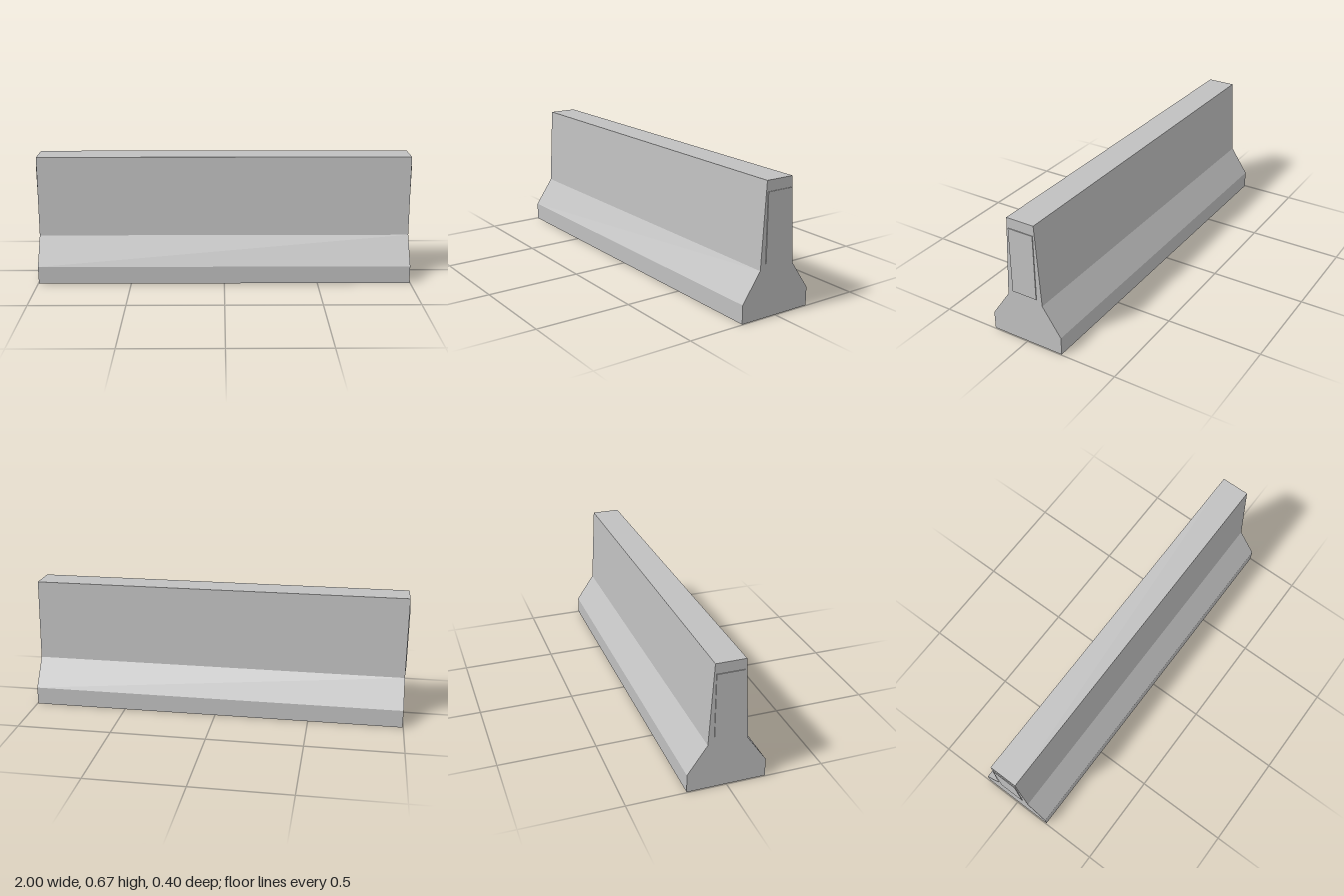
import * as THREE from 'three';

export function createModel() {
  const group = new THREE.Group();
  const concrete = new THREE.MeshStandardMaterial({ color: 0xc0c0c0 });
  concrete.name = 'concrete grey';

  const plateDepth = 0.004;
  const bodyLength = 2 - 2 * plateDepth;

  // Barrier body: half profile as (z, y), mirrored and extruded along x
  const half = [[0.2, 0], [0.2, 0.095], [0.1, 0.24], [0.076, 0.667]];
  const mirrored = half.map(([z, y]) => [-z, y]).reverse();
  const profile = new THREE.Shape([...half, ...mirrored].map(([z, y]) => new THREE.Vector2(z, y)));
  const bodyGeometry = new THREE.ExtrudeGeometry(profile, { depth: bodyLength, bevelEnabled: false });
  bodyGeometry.translate(0, 0, -bodyLength / 2);
  bodyGeometry.rotateY(Math.PI / 2);
  const body = new THREE.Mesh(bodyGeometry, concrete);
  body.name = 'barrierBody';
  group.add(body);

  // Thin raised panel on each end
  for (const side of [-1, 1]) {
    const panel = new THREE.Mesh(new THREE.BoxGeometry(plateDepth, 0.345, 0.138), concrete);
    panel.position.set(side * (1 - plateDepth / 2), 0.4405, 0);
    panel.name = side > 0 ? 'leftEndPanel' : 'rightEndPanel';
    group.add(panel);
  }
  return group;
}
